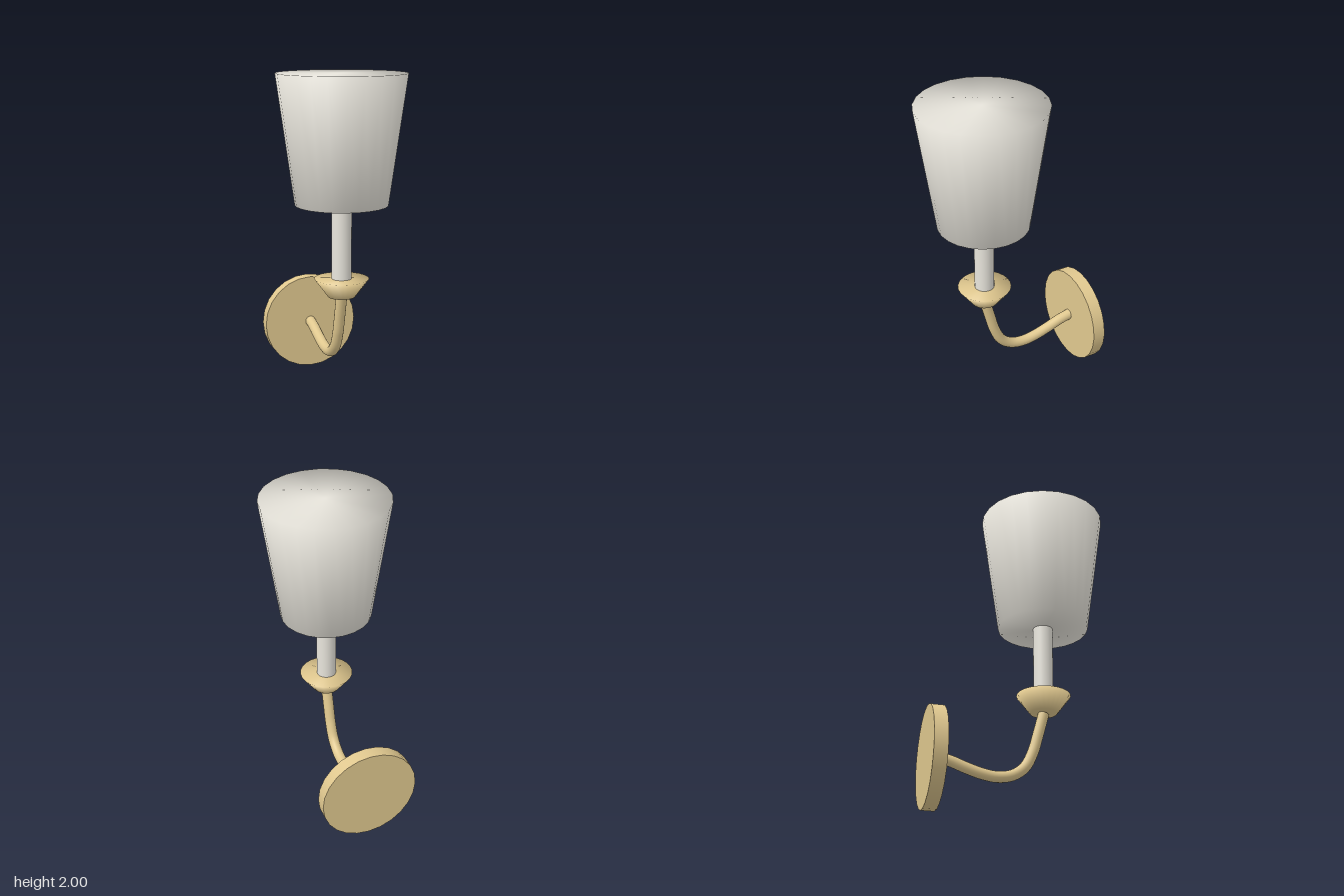
import * as THREE from 'three';

const SIDES = 24;
const AXIS_Z = 0.163; // vertical axis shared by shade, candle and cup

export function createModel() {
  const group = new THREE.Group();
  group.name = 'wallSconce';
  const brass = new THREE.MeshStandardMaterial({ color: 0xe0c88f });
  const white = new THREE.MeshStandardMaterial({ color: 0xe8e5dc });

  function add(name, geometry, material, x, y, z) {
    const mesh = new THREE.Mesh(geometry, material);
    mesh.name = name;
    mesh.position.set(x, y, z);
    group.add(mesh);
    return mesh;
  }

  // Closed tapered solid with softly shaded rims
  const taper = (r0, r1, h) => new THREE.LatheGeometry(
    [[0, 0], [r0, 0], [r1, h], [0, h]].map(([r, y]) => new THREE.Vector2(r, y)), SIDES);

  // Shade, candle sleeve and cup stacked on one axis
  add('shade', taper(0.282, 0.392, 0.78), white, 0, 1.22, AXIS_Z);
  add('candle', new THREE.CylinderGeometry(0.061, 0.061, 0.5, SIDES), white, 0, 0.98, AXIS_Z);
  add('cup', taper(0.083, 0.167, 0.113), brass, 0, 0.652, AXIS_Z);

  // Curved arm from the wall plate up to the cup
  const path = new THREE.CatmullRomCurve3([
    [0.648, 0.163], [0.505, 0.125], [0.4, 0.095], [0.3, 0.045], [0.243, -0.03],
    [0.225, -0.12], [0.236, -0.21], [0.265, -0.31], [0.297, -0.4], [0.315, -0.48],
  ].map(([y, z]) => new THREE.Vector3(0, y, z)));
  add('arm', new THREE.TubeGeometry(path, 40, 0.034, 16), brass, 0, 0, 0);

  // Caps closing the arm's ends
  for (const t of [0, 1]) {
    const p = path.getPointAt(t);
    const cap = add('armEnd', new THREE.CircleGeometry(0.034, 16), brass, p.x, p.y, p.z);
    const out = path.getTangentAt(t).multiplyScalar(t ? 1 : -1);
    cap.quaternion.setFromUnitVectors(new THREE.Vector3(0, 0, 1), out);
  }

  // Round wall plate
  const plate = new THREE.CylinderGeometry(0.309, 0.309, 0.082, SIDES);
  plate.rotateX(Math.PI / 2);
  add('wallPlate', plate, brass, 0, 0.312, -0.514);

  return group;
}
